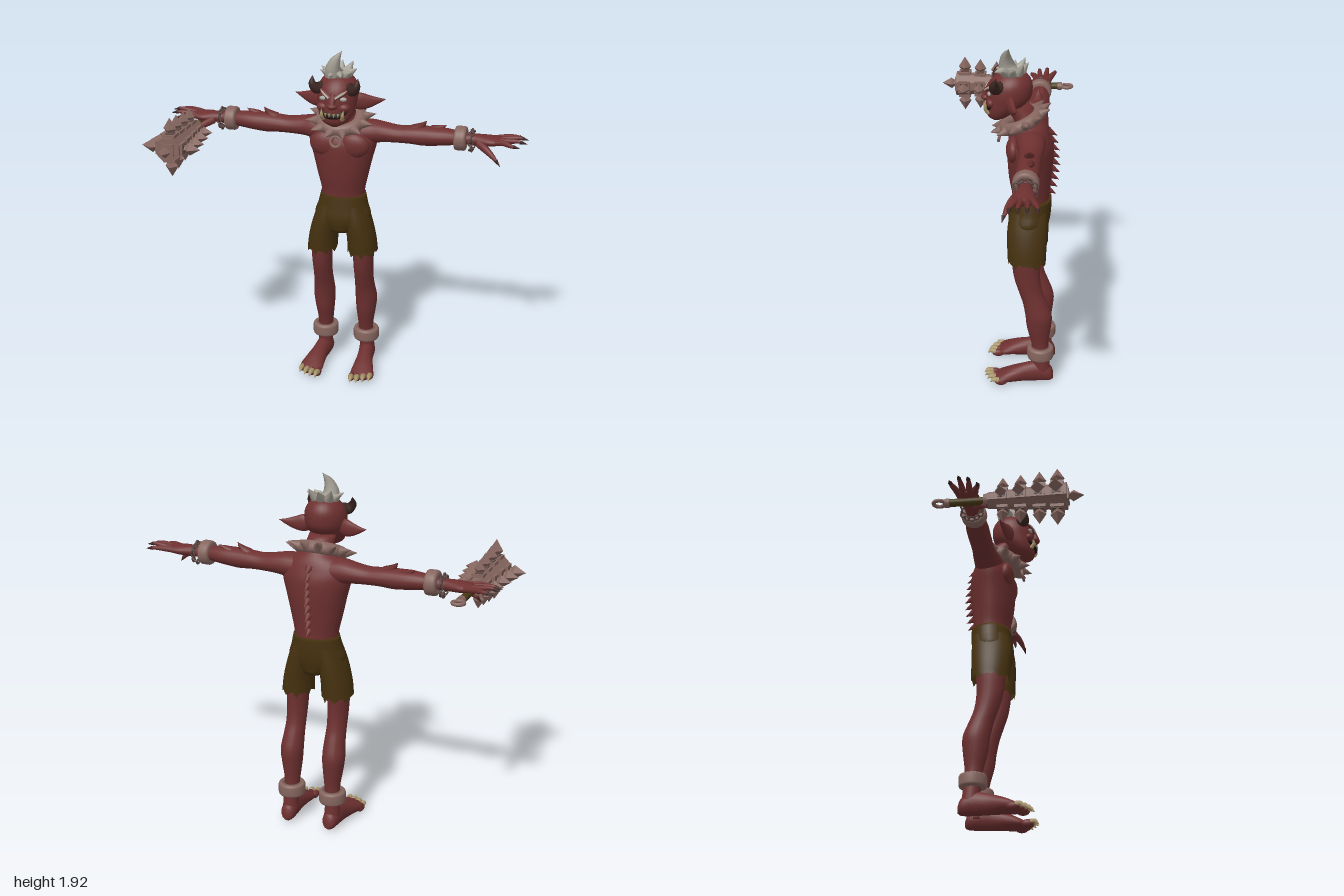
import * as THREE from 'three';

const V = (x, y, z) => new THREE.Vector3(x, y, z);
const mat = (name, color, side = THREE.FrontSide) => {
  const m = new THREE.MeshStandardMaterial({ color, side });
  m.name = name;
  return m;
};

// Smooth body through ellipses [x, y, z, a, b] that advance along +axis.
function loft(axis, secs, { seg = 20, sub = 4, caps = true } = {}) {
  const [U, W] = { x: [V(0, 1, 0), V(0, 0, 1)], y: [V(1, 0, 0), V(0, 0, -1)], z: [V(1, 0, 0), V(0, 1, 0)] }[axis];
  const centres = new THREE.CatmullRomCurve3(secs.map(s => V(s[0], s[1], s[2])), false, 'catmullrom');
  const radii = new THREE.CatmullRomCurve3(secs.map(s => V(s[3], s[4], 0)), false, 'catmullrom');
  const n = (secs.length - 1) * sub, pos = [], idx = [];
  for (let i = 0; i <= n; i++) {
    const c = centres.getPoint(i / n), r = radii.getPoint(i / n);
    for (let j = 0; j < seg; j++) {
      const t = j / seg * Math.PI * 2;
      const p = c.clone().addScaledVector(U, Math.max(0, r.x) * Math.cos(t)).addScaledVector(W, Math.max(0, r.y) * Math.sin(t));
      pos.push(p.x, p.y, p.z);
      const a = i * seg + j, b = i * seg + (j + 1) % seg;
      if (i < n) idx.push(a, b, b + seg, a, b + seg, a + seg);
    }
  }
  if (caps) {
    const k = (n + 1) * seg;
    pos.push(...centres.getPoint(0).toArray(), ...centres.getPoint(1).toArray());
    for (let j = 0; j < seg; j++) {
      const j2 = (j + 1) % seg;
      idx.push(k, j2, j, k + 1, n * seg + j, n * seg + j2);
    }
  }
  const g = new THREE.BufferGeometry();
  g.setAttribute('position', new THREE.Float32BufferAttribute(pos, 3));
  g.setIndex(idx);
  g.computeVertexNormals();
  return g;
}

// Tapered tube through points [x, y, z, radius].
function limb(pts, seg = 10) {
  const curve = new THREE.CatmullRomCurve3(pts.map(p => V(p[0], p[1], p[2])));
  const n = 12, g = new THREE.TubeGeometry(curve, n, 1, seg), pos = g.attributes.position, p = V(0, 0, 0);
  for (let i = 0; i < pos.count; i++) {
    const u = Math.floor(i / (seg + 1)) / n, f = u * (pts.length - 1), k = Math.min(pts.length - 2, Math.floor(f));
    const c = curve.getPointAt(u), r = THREE.MathUtils.lerp(pts[k][3], pts[k + 1][3], f - k);
    p.fromBufferAttribute(pos, i).sub(c).multiplyScalar(r).add(c);
    pos.setXYZ(i, p.x, p.y, p.z);
  }
  return g;
}

// Points a geometry that runs along +y from its origin towards a direction.
const aim = (g, from, dir) => g
  .applyQuaternion(new THREE.Quaternion().setFromUnitVectors(V(0, 1, 0), dir.clone().normalize()))
  .translate(from.x, from.y, from.z);
function spike(from, to, r, sides = 10) {
  const h = from.distanceTo(to);
  return aim(new THREE.ConeGeometry(r, h, sides).translate(0, h / 2, 0), from, to.clone().sub(from));
}
function flat(g) {
  const f = g.index ? g.toNonIndexed() : g;
  f.computeVertexNormals();
  return f;
}
function mirrored(g) {
  const m = g.clone().scale(-1, 1, 1), a = m.index.array;
  for (let i = 0; i < a.length; i += 3) [a[i], a[i + 1]] = [a[i + 1], a[i]];
  return m;
}
const ball = (x, y, z, a, b, c) => new THREE.SphereGeometry(1, 16, 12).scale(a, b, c).translate(x, y, z);
const band = (inner, outer, h) => {
  const b = 0.014;
  return new THREE.LatheGeometry([[inner, -h], [outer - b, -h], [outer - b * 0.3, -h + b * 0.3], [outer, -h + b], [outer, h - b],
    [outer - b * 0.3, h - b * 0.3], [outer - b, h], [inner, h], [inner, -h]].map(p => new THREE.Vector2(...p)), 28);
};

export function createModel() {
  const root = new THREE.Group();
  root.name = 'hornedCreature';
  const skin = mat('red skin', 0x6e3030), cloth = mat('olive cloth', 0x45310f, THREE.DoubleSide),
    metal = mat('dusky metal', 0x86665f), hairM = mat('grey hair', 0xaaa59a), claw = mat('tan claw', 0xa8946a),
    horn = mat('dark horn', 0x3c2622), dark = mat('mouth black', 0x1e1010), eyeM = mat('pale eye', 0xa3a39c),
    chainM = mat('dark chain', 0x594440), wrap = mat('handle wrap', 0x4a3b14);
  const add = (name, g, m) => {
    const mesh = new THREE.Mesh(g, m);
    mesh.name = name;
    root.add(mesh);
    return mesh;
  };
  const pair = (name, g, m) => { add(name + 'Left', g, m); add(name + 'Right', mirrored(g), m); };

  // Torso and chest
  add('torso', loft('y', [[0, 1.03, -.19, .118, .1], [0, 1.1, -.19, .12, .1], [0, 1.2, -.185, .142, .113], [0, 1.3, -.185, .165, .122],
    [0, 1.39, -.185, .188, .122], [0, 1.45, -.19, .185, .1], [0, 1.5, -.185, .14, .085], [0, 1.54, -.165, .085, .075], [0, 1.61, -.11, .07, .07]], { seg: 28 }), skin);
  pair('chestMuscle', ball(.08, 1.39, -.1, .085, .07, .04), skin);
  for (let i = 0; i < 9; i++) {
    const y = 1.12 + i * .042, z = -.275 - .02 * Math.sin(i / 8 * Math.PI);
    add('spineRidge', spike(V(0, y + .012, z), V(0, y - .015, z - .05), .022), skin);
  }

  // Arms, hands and elbow spikes
  pair('arm', loft('x', [[.08, 1.445, -.19, .065, .08], [.16, 1.447, -.195, .065, .075], [.22, 1.447, -.2, .055, .067], [.3, 1.443, -.2, .047, .06],
    [.37, 1.445, -.2, .049, .06], [.44, 1.445, -.2, .053, .06], [.51, 1.448, -.2, .05, .06], [.57, 1.45, -.2, .045, .053], [.64, 1.45, -.2, .035, .04],
    [.7, 1.45, -.2, .03, .035], [.75, 1.45, -.2, .03, .045], [.8, 1.45, -.2, .027, .056], [.85, 1.452, -.205, .02, .05], [.87, 1.452, -.205, .008, .03]]), skin);
  pair('elbowSpike', limb([[.39, 1.47, -.2, .035], [.425, 1.495, -.2, .022], [.455, 1.53, -.2, 0]]), skin);
  pair('forearmSpike', limb([[.49, 1.475, -.21, .03], [.53, 1.495, -.215, .016], [.56, 1.508, -.22, 0]]), skin);
  for (const [z0, x, y, z] of [[-.24, .97, 1.455, -.272], [-.218, .99, 1.465, -.225], [-.192, .985, 1.46, -.18], [-.168, .955, 1.445, -.138]]) {
    pair('finger', limb([[.82, 1.452, z0, .017], [.87, 1.458, z0 * .6 + z * .4, .017], [x - .04, y + .005, z, .013], [x - .015, y, z, .006]]), skin);
    pair('fingerClaw', spike(V(x - .03, y + .003, z), V(x + .01, y - .005, z), .011), horn);
  }
  pair('thumb', limb([[.74, 1.44, -.17, .022], [.79, 1.415, -.135, .02], [.83, 1.385, -.115, .015], [.852, 1.362, -.105, .006]]), skin);
  pair('thumbClaw', spike(V(.842, 1.375, -.108), V(.868, 1.345, -.1), .011), horn);

  // Wrist cuffs with chain bracelets
  pair('wristCuff', band(.03, .066, .032).rotateZ(-Math.PI / 2).translate(.64, 1.45, -.198), metal);
  for (let i = 0; i < 12; i++) {
    const t = i / 12 * Math.PI * 2;
    const g = new THREE.TorusGeometry(.015, .005, 6, 10).scale(.8, 1, 1).rotateY(i % 2 ? Math.PI / 2 : .3)
      .translate(0, 0, .052).rotateX(t).translate(.7, 1.443, -.2);
    pair('chainLink', g, chainM);
  }

  // Legs, feet and ankle cuffs
  pair('leg', loft('y', [[.125, .05, -.272, .045, .05], [.125, .14, -.265, .041, .046], [.12, .24, -.257, .042, .048], [.122, .34, -.25, .054, .066],
    [.124, .42, -.247, .061, .073], [.121, .5, -.225, .056, .067], [.12, .57, -.2, .053, .065], [.12, .66, -.18, .055, .072], [.12, .78, -.175, .06, .08], [.115, .88, -.175, .06, .08]]), skin);
  pair('foot', loft('z', [[.125, .035, -.335, .015, .02], [.125, .05, -.315, .038, .046], [.128, .062, -.25, .045, .062], [.135, .056, -.18, .045, .056],
    [.145, .043, -.1, .058, .043], [.15, .03, -.045, .066, .03], [.15, .024, -.01, .05, .018]]), skin);
  pair('ankleCuff', band(.038, .074, .036).translate(.122, .184, -.261), metal);
  for (let i = 0; i < 4; i++) {
    const x = .1 + i * .033, z = [.03, .025, .01, -.01][i];
    pair('toe', ball(x, .023, z - .035, .019, .022, .035), skin);
    pair('toeClaw', limb([[x, .03, z - .022, .018], [x + .002, .034, z + .003, .013], [x + .004, .016, z + .026, 0]]), claw);
  }

  // Ragged shorts
  add('shortsHips', loft('y', [[0, .875, -.178, .08, .095], [0, .95, -.18, .155, .112], [0, 1.02, -.188, .14, .112], [0, 1.085, -.193, .125, .108]], { seg: 28 }), cloth);
  const leg = loft('y', [[.116, .745, -.178, .084, .103], [.109, .83, -.177, .08, .106], [.09, .93, -.178, .074, .108], [.068, 1.03, -.185, .06, .1]], { seg: 32, caps: false });
  for (let j = 0; j < 32; j++) leg.attributes.position.setY(j, .747 + .014 * Math.sin(j * 1.7) + .008 * Math.cos(j * 2.9));
  leg.computeVertexNormals();
  pair('shortsLeg', leg, cloth);

  // Head
  const head = [[0, 1.525, -.005, .02, .02], [0, 1.55, -.012, .066, .055], [0, 1.59, -.035, .092, .085], [0, 1.64, -.063, .106, .113],
    [0, 1.69, -.073, .111, .118], [0, 1.74, -.08, .1, .106], [0, 1.78, -.085, .065, .07], [0, 1.797, -.085, .01, .01]];
  add('head', loft('y', head, { seg: 28 }), skin);
  const face = (x, y, out = 0) => { // front surface of the head at x, y
    const k = head.findIndex(h => h[1] > y) - 1, t = (y - head[k][1]) / (head[k + 1][1] - head[k][1]);
    const [, , z, a, b] = head[k].map((v, i) => v + (head[k + 1][i] - v) * t);
    return z + b * Math.sqrt(Math.max(0, 1 - (x / a) ** 2)) + out;
  };
  add('nose', ball(0, 1.648, .052, .03, .018, .025), skin);
  add('noseBridge', limb([[0, 1.715, .025, .012], [0, 1.68, .045, .02], [0, 1.65, .06, .016]]), skin);
  pair('cheek', ball(.055, 1.635, face(.055, 1.635, -.012), .035, .025, .025), skin);
  const mouth = [-.072, -.04, 0, .04, .072].map(x => [x, 1.592 + 4 * x * x, face(x, 1.592 + 4 * x * x, -.005), Math.abs(x) > .06 ? .005 : .017]);
  add('mouth', limb(mouth), dark);
  for (const x of [.012, .034]) pair('tooth', spike(V(x, 1.611, face(x, 1.6, .008)), V(x, 1.588, face(x, 1.59, .014)), .008), claw);
  pair('tusk', limb([[.05, 1.575, face(.05, 1.575, 0), .012], [.056, 1.6, face(.056, 1.6, .016), .01], [.06, 1.632, face(.06, 1.632, .012), 0]]), claw);
  pair('eye', ball(.052, 1.683, face(.052, 1.683, -.004), .022, .012, .012), eyeM);
  pair('browRidge', limb([[.012, 1.688, face(.012, 1.688), .012], [.05, 1.712, face(.05, 1.712), .014], [.09, 1.725, face(.09, 1.725), .006]]), skin);
  pair('brow', limb([[.016, 1.69, face(.016, 1.69, .012), .005], [.05, 1.712, face(.05, 1.712, .012), .007], [.088, 1.735, face(.088, 1.735, .006), 0]]), hairM);
  pair('ear', loft('x', [[.08, 1.645, -.075, .035, .03], [.12, 1.645, -.088, .046, .024], [.165, 1.643, -.1, .034, .017], [.21, 1.648, -.112, .016, .01], [.25, 1.657, -.12, 0, 0]]), skin);
  pair('horn', limb([[.07, 1.725, -.03, .034], [.098, 1.725, -.004, .031], [.118, 1.748, .002, .019], [.122, 1.79, -.014, 0]]), horn);

  // Hair tuft
  add('hairCrest', limb([[-.01, 1.76, -.075, .06], [-.022, 1.81, -.055, .045], [-.008, 1.865, -.052, .026], [.022, 1.915, -.067, 0]]), hairM);
  for (let i = 0; i < 9; i++) {
    const t = (i + .5) / 9 * Math.PI * 2, s = Math.sin(t), c = Math.cos(t), up = 1.815 - .025 * c + (i % 2) * .012;
    add('hairSpike', limb([[s * .02, 1.765, -.08 + c * .02, .034], [s * .06, 1.795, -.08 + c * .055, .024], [s * .1, up, -.08 + c * .09, 0]]), hairM);
  }

  // Spiked collar with a pendant ring
  const tilt = g => g.rotateX(.42).translate(0, 1.525, -.135);
  add('collar', tilt(new THREE.TorusGeometry(.105, .034, 12, 36).scale(1, .92, 1).rotateX(Math.PI / 2)), metal);
  for (let i = 0; i < 12; i++) {
    const t = (i + .5) / 12 * Math.PI * 2, s = Math.sin(t), c = Math.cos(t);
    add('collarSpike', tilt(spike(V(s * .118, 0, c * .11), V(s * .193, .012, c * .178), .031, 8)), metal);
  }
  add('pendantRing', new THREE.TorusGeometry(.028, .008, 8, 20).rotateX(-.2).translate(0, 1.43, -.02), metal);

  // Spiked club, built along z around its own axis
  const club = new THREE.Group();
  club.name = 'club';
  club.position.set(-.825, 1.415, 0);
  root.add(club);
  const part = (name, g, m) => club.add(add(name, g, m));
  part('clubHead', flat(new THREE.CylinderGeometry(.07, .042, .4, 8).rotateY(Math.PI / 8).rotateX(Math.PI / 2).translate(0, 0, .1)), metal);
  const barb = k => flat(new THREE.LatheGeometry([[.018, -.01], [.022, .012], [.037, .03], [0, .09]].map(p => new THREE.Vector2(p[0] * k, p[1] * k)), 4));
  [-.025, .065, .16, .25].forEach((z, i) => {
    const r = .05 + i * .006, k = .82 + i * .06;
    for (let q = 0; q < 4; q++) {
      const d = V(Math.round(Math.cos(q * Math.PI / 2)), Math.round(Math.sin(q * Math.PI / 2)), 0);
      const at = h => d.clone().multiplyScalar(h).add(V(0, 0, z));
      part('barbFrame', aim(new THREE.BoxGeometry(.068 * k, .016, .068 * k), at(r), d), metal);
      part('barbRecess', aim(new THREE.BoxGeometry(.044 * k, .006, .044 * k), at(r + .008), d), chainM);
      part('barb', aim(barb(k), at(r + .006), d), metal);
    }
  });
  part('endFrame', new THREE.BoxGeometry(.07, .07, .016), metal);
  club.children.at(-1).position.z = .3;
  part('endBarb', aim(barb(.9), V(0, 0, .303), V(0, 0, 1)), metal);
  part('clubGuard', new THREE.CylinderGeometry(.04, .034, .03, 12).rotateX(Math.PI / 2).translate(0, 0, -.105), metal);
  part('clubHandle', new THREE.CylinderGeometry(.02, .02, .22, 12).rotateX(Math.PI / 2).translate(0, 0, -.2), wrap);
  part('pommel', new THREE.CylinderGeometry(.023, .023, .025, 12).rotateX(Math.PI / 2).translate(0, 0, -.305), metal);
  part('pommelRing', new THREE.TorusGeometry(.029, .01, 8, 20).rotateX(Math.PI / 2).translate(0, 0, -.346), metal);

  return root;
}
